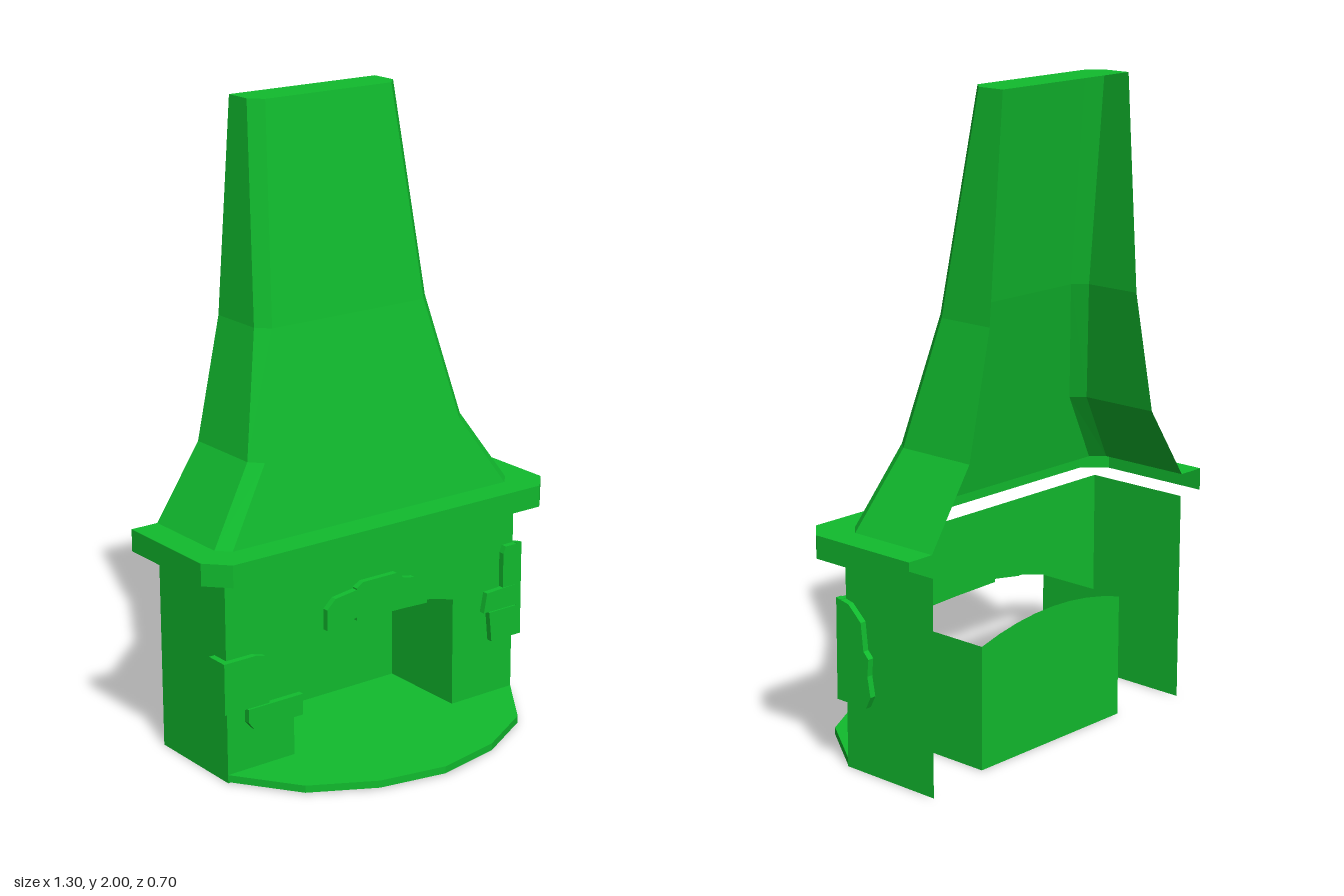
import * as THREE from 'three';

const material = new THREE.MeshStandardMaterial({ color: 0x11bb2e, flatShading: true, side: THREE.DoubleSide });
const BACK = -0.35;

const polygon = (points) => new THREE.Shape(points.map(([x, y]) => new THREE.Vector2(x, y)));

// Adds the +x side of a right-half outline to its mirrored -x side, running left to right
const mirrored = (half) => [
  ...half.map(([x, z]) => [-x, z]),
  ...half.slice().reverse().filter(([x]) => x !== 0),
];

// Open skin through horizontal outlines [x, z], one per height
function loft(levels) {
  const positions = [];
  for (let i = 0; i < levels.length - 1; i++) {
    const low = levels[i], high = levels[i + 1];
    for (let j = 0; j < low.outline.length - 1; j++) {
      const at = (level, k) => [level.outline[k][0], level.y, level.outline[k][1]];
      const a = at(low, j), b = at(low, j + 1), c = at(high, j + 1), d = at(high, j);
      positions.push(...a, ...b, ...c, ...a, ...c, ...d);
    }
  }
  const geometry = new THREE.BufferGeometry();
  geometry.setAttribute('position', new THREE.Float32BufferAttribute(positions, 3));
  geometry.computeVertexNormals();
  return geometry;
}

const wall = (outline, y0, y1) => loft([{ y: y0, outline }, { y: y1, outline }]);

// Horizontal sheet from an [x, z] outline with an optional hole
function sheet(outline, y, hole) {
  const flip = (points) => points.map(([x, z]) => [x, -z]);
  const shape = polygon(flip(outline));
  if (hole) shape.holes.push(polygon(flip(hole)));
  return new THREE.ShapeGeometry(shape).rotateX(-Math.PI / 2).translate(0, y, 0);
}

export function createModel() {
  const model = new THREE.Group();
  model.name = 'fireplace';
  const add = (name, geometry, parent = model) => {
    const mesh = new THREE.Mesh(geometry, material);
    mesh.name = name;
    parent.add(mesh);
    return mesh;
  };

  // Hood: chamfered outline narrowing upward, open at the back
  const hoodLevels = [
    // y, side x, front x, side z, front z
    [0.73, 0.558, 0.52, -0.045, -0.005],
    [0.96, 0.405, 0.37, -0.09, -0.05],
    [1.34, 0.322, 0.285, -0.165, -0.125],
    [2.0, 0.27, 0.232, -0.26, -0.22],
  ].map(([y, sx, fx, sz, fz]) => ({ y, outline: mirrored([[sx, BACK], [sx, sz], [fx, fz]]) }));
  add('hood', loft(hoodLevels));
  add('hoodCap', sheet(hoodLevels[3].outline, 2));

  // Mantel shelf: top surface around the hood and a rim, open below
  const shelf = mirrored([[0.65, BACK], [0.65, 0.02], [0.585, 0.09]]);
  const hoodBase = hoodLevels[0].outline;
  add('mantelTop', sheet([...shelf, ...hoodBase.slice().reverse()], 0.73));
  add('mantelRim', wall(shelf, 0.66, 0.73));

  // Body: front wall with an arched opening, and two side walls
  const W = 0.555, OPEN = 0.31, DEEP = -0.31;
  const arch = [];
  for (let i = 0; i <= 8; i++) {
    const x = -OPEN + (2 * OPEN * i) / 8;
    arch.push([x, 0.43 - 0.48 * x * x]);
  }
  add('frontWall', new THREE.ShapeGeometry(polygon([
    [-W, 0], [-OPEN, 0], ...arch, [OPEN, 0], [W, 0], [W, 0.66], [-W, 0.66],
  ])));
  add('leftWall', wall([[W, 0], [W, BACK]], 0, 0.66));
  add('rightWall', wall([[-W, BACK], [-W, 0]], 0, 0.66));

  // Firebox behind the opening, open above
  const sideTop = arch[0][1];
  add('fireboxRightWall', wall([[-OPEN, 0], [-OPEN, DEEP]], 0, sideTop));
  add('fireboxLeftWall', wall([[OPEN, DEEP], [OPEN, 0]], 0, sideTop));
  add('fireboxBack', new THREE.ShapeGeometry(polygon([[-OPEN, 0], ...arch, [OPEN, 0]])).translate(0, 0, DEEP));

  // Hearth: faceted apron continuing into the firebox floor
  const apron = mirrored([[W, 0], [0.415, 0.2], [0.218, 0.308], [0, 0.35]]);
  add('hearthTop', sheet([...apron, [OPEN, 0], [OPEN, DEEP], [-OPEN, DEEP], [-OPEN, 0]], 0.027));
  add('hearthRim', wall(apron, 0.004, 0.027));

  // Raised stones: on the front, or wrapping onto a side wall ([z, y] points)
  const stones = new THREE.Group();
  stones.name = 'stones';
  model.add(stones);
  const T = 0.02;
  const slab = (points) => new THREE.ExtrudeGeometry(polygon(points), { depth: T, bevelEnabled: false });
  const frontStone = (name, points) => add(name, slab(points), stones);
  const sideStone = (name, side, points) => {
    const geometry = slab(points.map(([z, y]) => [-z, y])).rotateY(Math.PI / 2);
    geometry.translate(side > 0 ? W : -W - T, 0, 0);
    add(name, geometry, stones);
  };

  frontStone('keystone', [[-0.085, 0.415], [0.095, 0.412], [0.095, 0.515], [0.07, 0.535], [-0.06, 0.535], [-0.085, 0.52]]);
  frontStone('archStoneRight', [[-0.197, 0.408], [-0.085, 0.425], [-0.085, 0.515], [-0.165, 0.505], [-0.197, 0.475]]);
  frontStone('archStoneLeft', [[0.095, 0.412], [0.19, 0.408], [0.19, 0.47], [0.14, 0.505], [0.095, 0.513]]);

  frontStone('rightStoneFront', [[-0.575, 0.232], [-0.415, 0.232], [-0.395, 0.34], [-0.425, 0.385], [-0.46, 0.395], [-0.575, 0.395]]);
  sideStone('rightStoneSide', -1, [[T, 0.232], [T, 0.395], [-0.06, 0.395], [-0.1, 0.34], [-0.09, 0.25], [-0.06, 0.232]]);
  frontStone('rightLowStone', [[-0.47, 0.16], [-0.29, 0.16], [-0.29, 0.228], [-0.49, 0.228], [-0.49, 0.185]]);

  frontStone('leftTopStoneFront', [[0.5, 0.385], [0.575, 0.385], [0.575, 0.522], [0.51, 0.522], [0.5, 0.5]]);
  sideStone('leftTopStoneSide', 1, [[T, 0.385], [T, 0.525], [-0.03, 0.515], [-0.08, 0.47], [-0.09, 0.385]]);
  frontStone('leftMiddleStoneFront', [[0.422, 0.315], [0.565, 0.315], [0.565, 0.385], [0.435, 0.38]]);
  sideStone('leftMiddleStoneSide', 1, [[T, 0.312], [T, 0.385], [-0.09, 0.385], [-0.11, 0.365], [-0.105, 0.312]]);
  frontStone('leftLowStoneFront', [[0.455, 0.212], [0.575, 0.212], [0.575, 0.312], [0.445, 0.312]]);
  sideStone('leftLowStoneSide', 1, [[T, 0.212], [T, 0.312], [-0.105, 0.312], [-0.117, 0.25], [-0.098, 0.212]]);

  return model;
}
